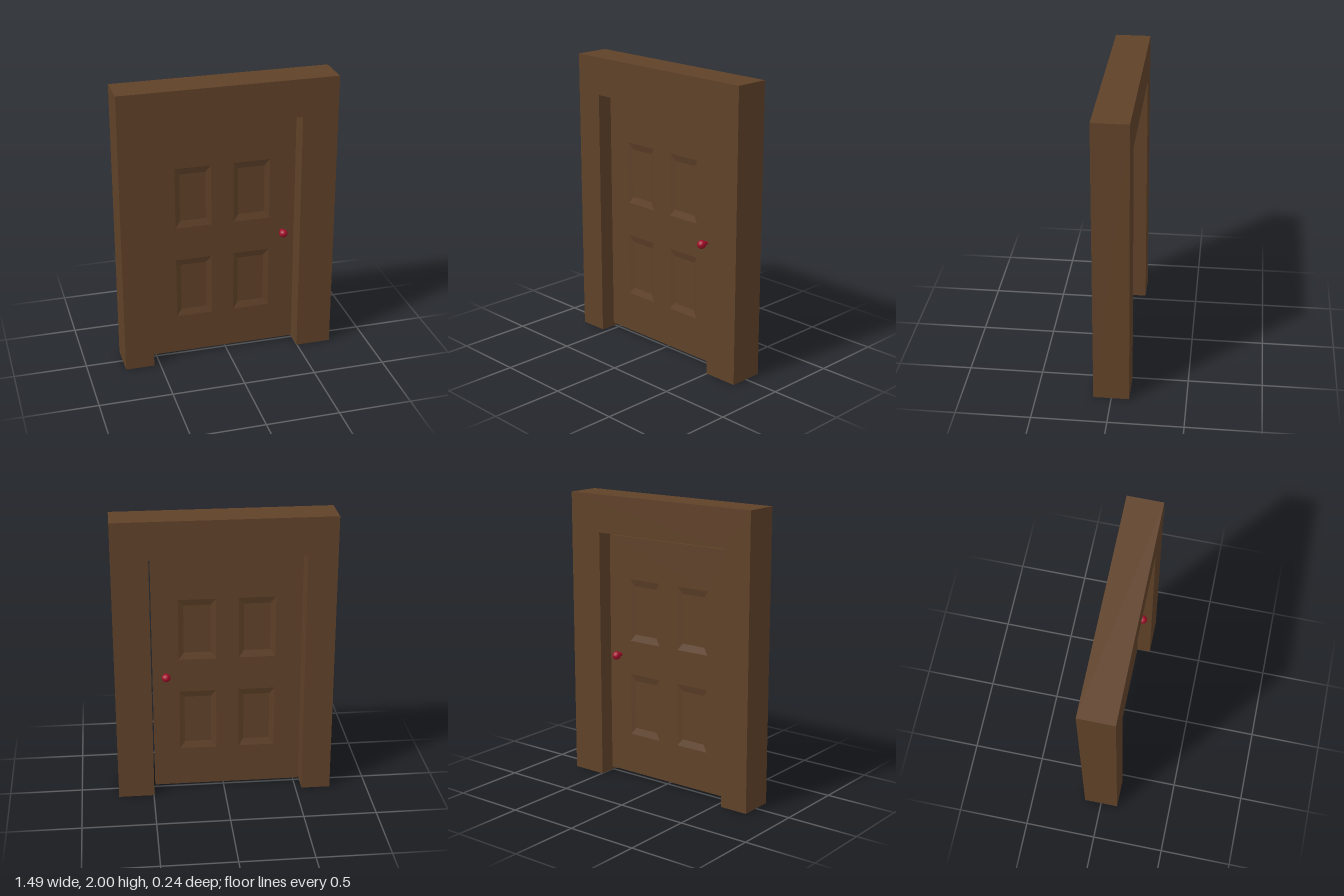
import * as THREE from 'three';

const wood = new THREE.MeshStandardMaterial({ color: 0x5f4128 });
const red = new THREE.MeshStandardMaterial({ color: 0xa00d28 });

const FACE = 0.025;   // half thickness of the door leaf
const SINK = 0.013;   // depth of the recessed panels
const BX = 0.035, BY = 0.047; // bevel widths

const path = (pts, Type) => new Type(pts.map(([x, y]) => new THREE.Vector2(x, y)));
const rect = (x0, x1, y0, y1) => [[x0, y0], [x1, y0], [x1, y1], [x0, y1]];

function slab(shape, halfDepth) {
  const g = new THREE.ExtrudeGeometry(shape, { depth: 2 * halfDepth, bevelEnabled: false });
  return g.translate(0, 0, -halfDepth);
}

function add(parent, name, geometry, material) {
  const mesh = new THREE.Mesh(geometry, material);
  mesh.name = name;
  parent.add(mesh);
  return mesh;
}

// Sunken panel facing +z (side 1) or -z (side -1): four bevels and a floor
function panelGeometry(x0, x1, y0, y1, side) {
  const outer = rect(x0, x1, y0, y1).map(([x, y]) => [x, y, side * FACE]);
  const inner = rect(x0 + BX, x1 - BX, y0 + BY, y1 - BY).map(([x, y]) => [x, y, side * (FACE - SINK)]);
  const pos = [];
  const quad = (a, b, c, d) => {
    const corners = side > 0 ? [a, b, c, a, c, d] : [a, c, b, a, d, c];
    corners.forEach((p) => pos.push(...p));
  };
  for (let i = 0; i < 4; i++) {
    const j = (i + 1) % 4;
    quad(outer[i], outer[j], inner[j], inner[i]);
  }
  quad(...inner);
  const g = new THREE.BufferGeometry();
  g.setAttribute('position', new THREE.Float32BufferAttribute(pos, 3));
  g.computeVertexNormals();
  return g;
}

// Knob profile: neck running out of the door, then a ball
function knobGeometry() {
  const r = 0.03, ball = 0.046;
  const profile = [new THREE.Vector2(0.014, 0)];
  for (let i = 0; i <= 6; i++) {
    const a = THREE.MathUtils.lerp(-1.08, Math.PI / 2, i / 6);
    profile.push(new THREE.Vector2(Math.max(0, r * Math.cos(a)), ball + r * Math.sin(a)));
  }
  return new THREE.LatheGeometry(profile, 10).rotateX(Math.PI / 2);
}

export function createModel() {
  const model = new THREE.Group();
  model.name = 'doorway';

  // Surround: two jambs and a lintel in one piece
  const surround = path([
    [-0.743, 0], [-0.543, 0], [-0.543, 1.74], [0.497, 1.74],
    [0.497, 0], [0.743, 0], [0.743, 2], [-0.743, 2],
  ], THREE.Shape);
  add(model, 'doorFrame', slab(surround, 0.12), wood);

  // Door leaf with four panels on each face
  const door = new THREE.Group();
  door.name = 'door';
  model.add(door);
  const leaf = path(rect(-0.53, 0.484, 0.03, 1.715), THREE.Shape);
  for (const [x0, x1] of [[-0.352, -0.103], [0.052, 0.305]]) {
    for (const [y0, y1] of [[0.313, 0.751], [0.99, 1.424]]) {
      leaf.holes.push(path(rect(x0, x1, y0, y1), THREE.Path));
      for (const side of [1, -1]) {
        add(door, side > 0 ? 'frontPanel' : 'backPanel', panelGeometry(x0, x1, y0, y1, side), wood);
      }
    }
  }
  add(door, 'doorLeaf', slab(leaf, FACE), wood);

  // Knobs on both faces
  for (const side of [1, -1]) {
    const knob = add(door, side > 0 ? 'frontKnob' : 'backKnob', knobGeometry(), red);
    knob.position.set(0.395, 0.88, side * FACE);
    if (side < 0) knob.rotation.y = Math.PI;
  }
  return model;
}
